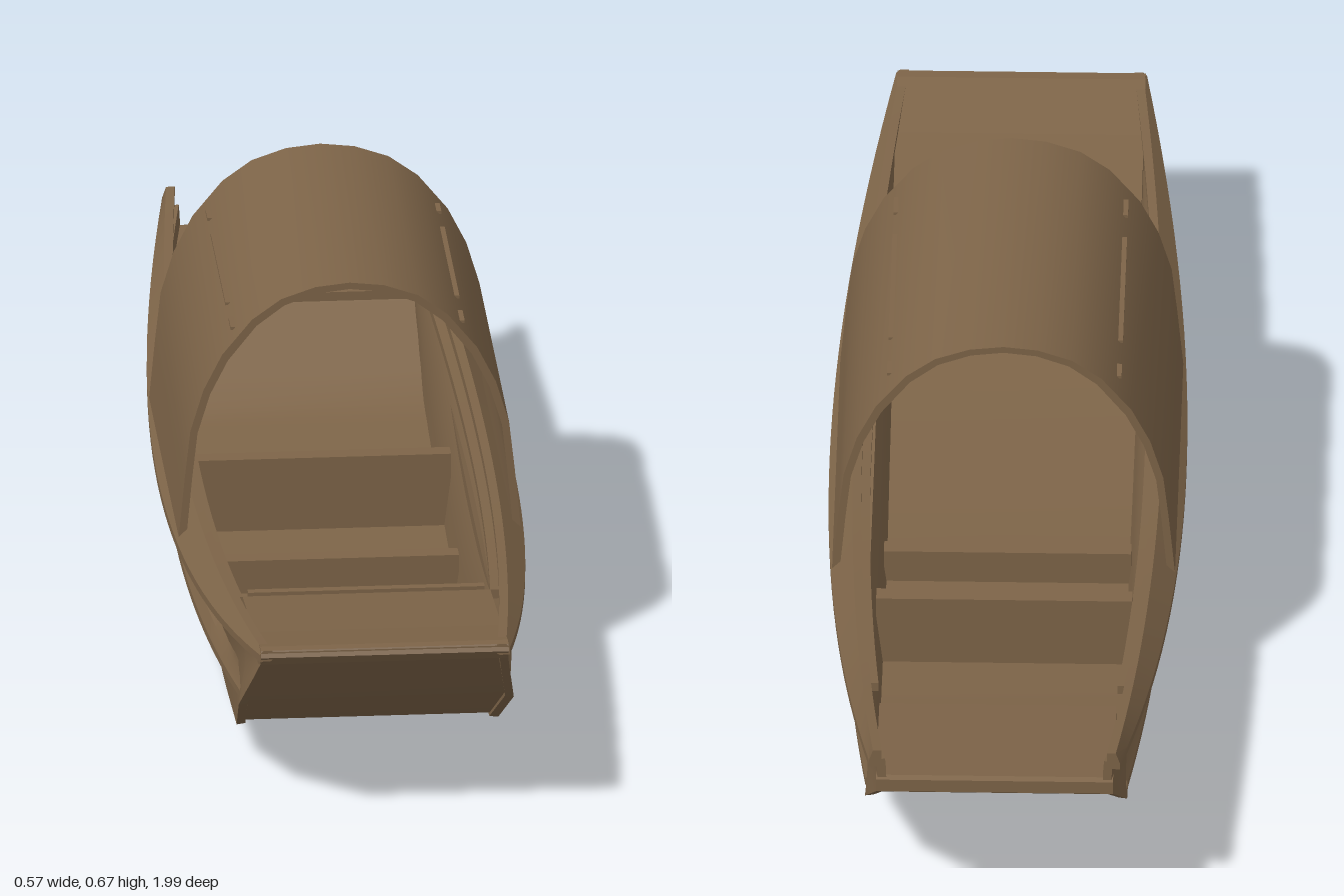
import * as THREE from 'three';
import { toCreasedNormals } from 'three/addons/utils/BufferGeometryUtils.js';

const wood = new THREE.MeshStandardMaterial({ color: 0x7d6448, side: THREE.DoubleSide });
wood.name = 'brown wood';

// piecewise-linear lookup: pairs of [z, value], ascending
function table(pairs) {
  return (z) => {
    let i = 1;
    while (i < pairs.length - 1 && z > pairs[i][0]) i++;
    const [a, va] = pairs[i - 1], [b, vb] = pairs[i];
    return va + (vb - va) * THREE.MathUtils.clamp((z - a) / (b - a), 0, 1);
  };
}

// hull lines along the length
const keelY = table([[-0.99, 0.255], [-0.87, 0.165], [-0.67, 0.06], [-0.4, 0.02], [-0.1, 0], [0.15, 0.006],
  [0.4, 0.026], [0.64, 0.056], [0.82, 0.162], [0.93, 0.25], [1, 0.308]]);
const keelX = table([[-0.99, 0.185], [-0.87, 0.21], [-0.67, 0.207], [0, 0.205], [0.64, 0.21], [0.82, 0.221], [1, 0.197]]);
const railX = (z) => 0.2 + 0.086 * (1 - z * z);
const railY = (z) => 0.215 + 0.09 * z * z;
const capX = (z) => 0.18 + 0.053 * (1 - z * z);
const capY = (z) => 0.265 + (z < 0 ? 0.07 : 0.058) * z * z;

const stations = (a, b, n) => {
  const knots = [-0.87, -0.67, 0.64, 0.82, 0.93].filter((k) => k > a && k < b);
  for (let i = 0; i <= n; i++) knots.push(a + (b - a) * i / n);
  return knots.sort((p, q) => p - q);
};

// skins closed rings [x, y] (counter-clockwise from +z) along z and caps both ends
function loft(zs, ringAt, mirror = 1) {
  const pos = [], index = [];
  let rings = zs.map((z) => ringAt(z).map(([x, y]) => [x * mirror, y]));
  if (mirror < 0) rings = rings.map((r) => r.reverse());
  const n = rings[0].length;
  rings.forEach((r, s) => r.forEach(([x, y]) => pos.push(x, y, zs[s])));
  for (let s = 0; s < zs.length - 1; s++) {
    for (let i = 0; i < n; i++) {
      const a = s * n + i, b = s * n + (i + 1) % n;
      index.push(a, b, b + n, a, b + n, a + n);
    }
  }
  const cap = (s, flip) => {
    const pts = rings[s].map(([x, y]) => new THREE.Vector2(x, y));
    for (const [a, b, c] of THREE.ShapeUtils.triangulateShape(pts, [])) {
      const o = s * n;
      index.push(o + a, o + (flip ? c : b), o + (flip ? b : c));
    }
  };
  cap(0, true);
  cap(zs.length - 1, false);
  const g = new THREE.BufferGeometry();
  g.setAttribute('position', new THREE.Float32BufferAttribute(pos, 3));
  g.setIndex(index);
  return toCreasedNormals(g, 0.45);
}

// side profile of [z, y] points extruded across the boat
function across(profile, halfWidth) {
  const shape = new THREE.Shape(profile.map(([z, y]) => new THREE.Vector2(-z, y)));
  const g = new THREE.ExtrudeGeometry(shape, { depth: halfWidth * 2, bevelEnabled: false });
  return g.translate(0, 0, -halfWidth).rotateY(Math.PI / 2);
}

export function createModel() {
  const boat = new THREE.Group();
  boat.name = 'coveredBoat';
  const add = (name, geometry) => {
    const m = new THREE.Mesh(geometry, wood);
    m.name = name;
    boat.add(m);
    return m;
  };

  // bottom planking, slightly recessed between the side planks, also the floor of the well
  add('hullBottom', loft(stations(-0.98, 0.995, 32), (z) => {
    const x = keelX(z) - 0.008, y = keelY(z);
    const top = Math.min(y + 0.022, 0.32);
    return [[-x, y + 0.008], [x, y + 0.008], [x, top], [-x, top]];
  }));

  for (const side of [1, -1]) {
    const tag = side > 0 ? 'left' : 'right';

    // hollow side planking flaring up to the gunwale
    add(tag + 'HullSide', loft(stations(-0.98, 0.995, 32), (z) => {
      const bx = keelX(z), by = keelY(z);
      const tx = railX(z) - 0.014, ty = Math.max(railY(z), by) + 0.006;
      const hollow = 1 - z * z;
      const outer = [[0, 0], [0.28, 0.01], [0.57, 0.02], [0.8, 0.014], [1, 0]].map(([t, bend]) =>
        [bx + (tx - bx) * t - bend * hollow, by + (ty - by) * t]);
      return [...outer, ...outer.map(([x, y]) => [x - 0.014, y + 0.002]).reverse()];
    }, side));

    // sloping gunwale board
    add(tag + 'Gunwale', loft(stations(-0.995, 0.995, 32), (z) => {
      const ox = railX(z), oy = railY(z), ix = capX(z), iy = capY(z);
      return [[ox - 0.016, oy], [ox, oy], [ox, oy + 0.012], [ix + 0.014, iy], [ix, iy], [ix, iy - 0.016]];
    }, side));

    // rubbing strake, dying into the hull at both ends
    add(tag + 'Strake', loft(stations(-0.84, 0.79, 28), (z) => {
      const y = 0.126 + 0.055 * z * z, x = railX(z) - 0.026 + 0.015 * z * z;
      const root = Math.min(x - 0.012, 0.216);
      return [[root, y], [x, y], [x, y + 0.012], [x - 0.01, y + 0.03], [root, y + 0.044]];
    }, side));

    // inner rail running beside the open well
    add(tag + 'InnerRail', loft(stations(-0.72, 0.62, 20), (z) => {
      const x = capX(z) - 0.002, y = capY(z) - 0.035;
      return [[x - 0.012, y], [x + 0.03, y], [x + 0.03, y + 0.015], [x - 0.012, y + 0.015]];
    }, side));

    // upright batten lying against the outside planking
    const batten = add(tag + 'Batten', new THREE.BoxGeometry(0.018, 0.15, 0.024));
    batten.position.set(side * 0.229, 0.13, -0.27);
    batten.rotation.z = -side * 0.26;

    // thin battens on the canopy
    for (const [z, len] of [[-0.255, 0.035], [-0.02, 0.3], [0.215, 0.045]]) {
      const strip = add(tag + 'CanopyBatten', new THREE.BoxGeometry(0.008, 0.005, len));
      strip.position.set(side * 0.184, 0.578, z);
    }
  }

  // bow deck with rounded lip, and the beam along its inner edge
  add('bowDeck', across([[0.62, 0.25], [0.9, 0.265], [0.985, 0.295], [0.998, 0.311], [0.993, 0.322],
    [0.975, 0.322], [0.85, 0.298], [0.62, 0.268]], 0.199));
  add('bowDeckBeam', across([[0.605, 0.25], [0.62, 0.25], [0.62, 0.274], [0.605, 0.274]], 0.19));

  // low stern deck
  add('sternDeck', across([[-0.985, 0.25], [-0.73, 0.235], [-0.73, 0.25], [-0.975, 0.275], [-0.985, 0.272]], 0.19));

  // bulkhead in line with the outside battens, and a low rib amidships
  add('bulkhead', across([[-0.285, 0.015], [-0.255, 0.015], [-0.255, 0.155], [-0.285, 0.155]], 0.205));
  add('floorRib', across([[-0.035, 0.015], [-0.005, 0.015], [-0.005, 0.08], [-0.035, 0.08]], 0.198));

  // arched canopy shell, open at both ends
  const half = [[0.275, 0.235], [0.265, 0.34], [0.256, 0.42], [0.235, 0.49], [0.205, 0.55],
    [0.157, 0.609], [0.11, 0.643], [0.055, 0.662]];
  const outer = [...half, [0, 0.668], ...half.map(([x, y]) => [-x, y]).reverse()];
  const inner = outer.map(([x, y]) => [x * 0.955, y - 0.011 * THREE.MathUtils.smoothstep(y, 0.3, 0.6)]).reverse();
  add('canopy', loft([-0.325, 0.28], () => [...outer, ...inner]));

  return boat;
}
